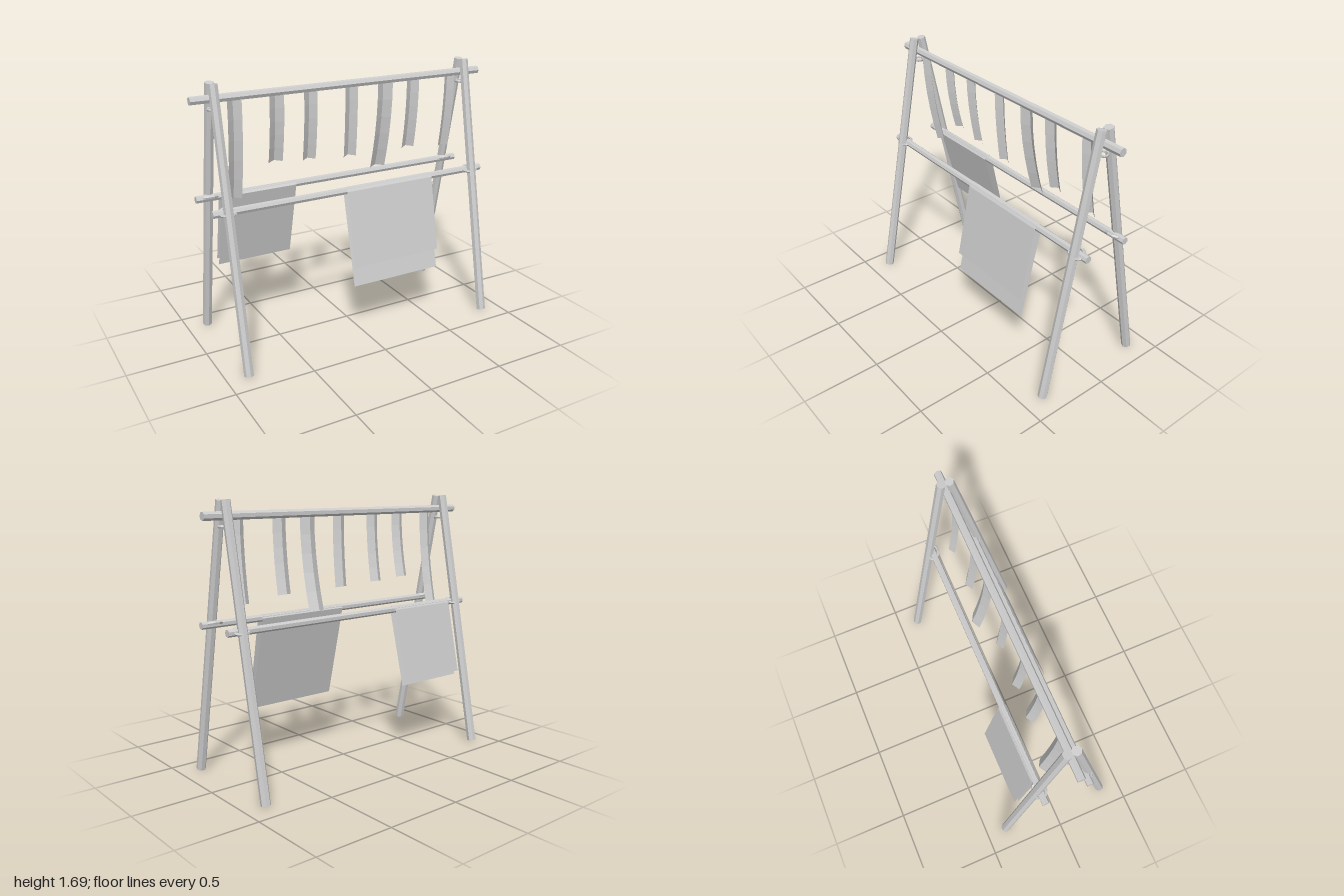
import * as THREE from 'three';

const grey = new THREE.MeshStandardMaterial({ color: 0xcccccc, flatShading: true, side: THREE.DoubleSide });
grey.name = 'plain grey';

const V = (x, y, z) => new THREE.Vector3(x, y, z);

function add(group, name, geometry) {
  const mesh = new THREE.Mesh(geometry, grey);
  mesh.name = name;
  group.add(mesh);
  return mesh;
}

// Straight rough pole between two points
function pole(group, name, a, b, r0, r1, sides) {
  const dir = b.clone().sub(a);
  const mesh = add(group, name, new THREE.CylinderGeometry(r1, r0, dir.length(), sides));
  mesh.position.copy(a).add(b).multiplyScalar(0.5);
  mesh.quaternion.setFromUnitVectors(V(0, 1, 0), dir.normalize());
}

// Open sheet through equally long rows of points
function sheet(rows) {
  const n = rows[0].length, index = [];
  for (let i = 0; i < rows.length - 1; i++) {
    for (let j = 0; j < n - 1; j++) {
      const a = i * n + j, b = a + n;
      index.push(a, b, a + 1, a + 1, b, b + 1);
    }
  }
  const geometry = new THREE.BufferGeometry().setFromPoints(rows.flat());
  geometry.setIndex(index);
  const flat = geometry.toNonIndexed();
  flat.computeVertexNormals();
  return flat;
}

// Cloth folded over a rail; profile holds [y, z] pairs
function cloth(group, name, x0, x1, profile) {
  add(group, name, sheet(profile.map(([y, z]) => [V(x0, y, z), V(x1, y, z)])));
}

// Creased strip hanging from the top rail and curling backwards
function strip(group, x0, x1, bottom, curl) {
  const rows = [], steps = 5, top = 1.585;
  const mid = (x0 + x1) / 2, half = (x1 - x0) / 2 - 0.003;
  for (let i = 0; i <= steps; i++) {
    const t = i / steps;
    const y = top + (bottom - top) * t;
    const z = -0.008 - curl * Math.pow(t, 1.8);
    const x = mid + 0.006 * (t - 0.5);
    const rise = 0.006 * t;
    rows.push([V(x - half, y, z + 0.028), V(x, y + rise, z), V(x + half, y, z + 0.028)]);
  }
  add(group, 'hangingStrip', sheet(rows));
}

// Rope ring, stretched and tilted to bind the poles
function lashing(group, x, y, z, halfX, halfZ, tilt) {
  const geometry = new THREE.TorusGeometry(1, 0.2, 5, 10);
  geometry.rotateX(Math.PI / 2);
  geometry.scale(halfX / 1.2, 0.05, halfZ / 1.2);
  const mesh = add(group, 'lashing', geometry);
  mesh.position.set(x, y, z);
  mesh.rotation.x = tilt;
}

export function createModel() {
  const model = new THREE.Group();
  model.name = 'dryingRack';

  // Crossed leg pairs, with rope bindings at the rails
  for (const side of [-1, 1]) {
    for (const face of [-1, 1]) {
      const x = side * 0.865;
      pole(model, 'leg', V(x, 0.006, face * 0.365), V(x, 1.688, face * 0.026), 0.03, 0.029, 7);
      lashing(model, x, 0.968, face * 0.15, 0.06, 0.05, face * 0.3);
    }
    lashing(model, side * 0.865, 1.54, 0, 0.035, 0.034, 0);
  }

  // Top rail and the two lower rails
  pole(model, 'topRail', V(-1, 1.599, 0), V(1, 1.602, 0), 0.025, 0.026, 7);
  for (const face of [-1, 1]) {
    pole(model, 'lowerRail', V(-0.955, 0.966, face * 0.145), V(0.95, 0.966, face * 0.145), 0.023, 0.023, 7);
  }

  // Strips: left edge, right edge, bottom height, backward curl
  const strips = [
    [-0.785, -0.69, 0.955, 0.085], [-0.525, -0.425, 1.16, 0.06], [-0.3, -0.205, 1.145, 0.05],
    [-0.02, 0.075, 1.13, 0.033], [0.215, 0.33, 1.01, 0.097], [0.43, 0.53, 1.125, 0.052],
    [0.725, 0.81, 1.095, 0.052],
  ];
  for (const s of strips) strip(model, ...s);

  // Cloths draped over the lower rails
  cloth(model, 'frontCloth', -0.09, 0.54,
    [[0.49, 0.27], [0.965, 0.172], [0.985, 0.158], [0.988, 0.135], [0.965, 0.118], [0.36, 0.265]]);
  cloth(model, 'backCloth', -0.8, -0.3,
    [[0.5, -0.275], [0.965, -0.172], [0.985, -0.158], [0.988, -0.135], [0.965, -0.118], [0.47, -0.245]]);

  return model;
}
